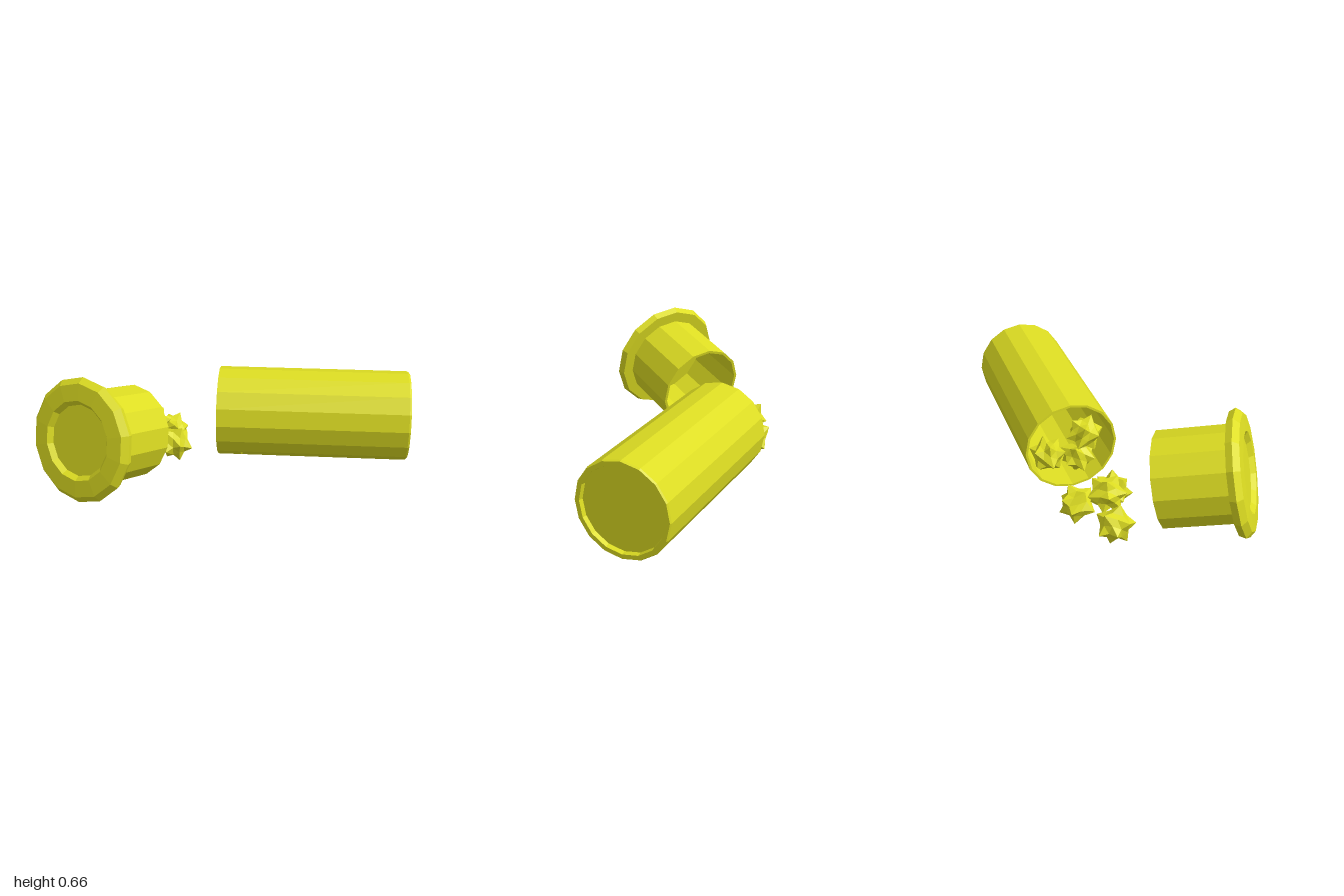
import * as THREE from 'three';

const material = new THREE.MeshStandardMaterial({ color: 0xdddd22, flatShading: true, side: THREE.DoubleSide });
const UP = new THREE.Vector3(0, 1, 0);

// Turned part whose local y axis points along the given direction.
function turned(name, profile, sides, position, axis) {
  const points = profile.map(([r, h]) => new THREE.Vector2(r, h));
  const mesh = new THREE.Mesh(new THREE.LatheGeometry(points, sides), material);
  mesh.name = name;
  mesh.position.set(...position);
  mesh.quaternion.setFromUnitVectors(UP, new THREE.Vector3(...axis).normalize());
  return mesh;
}

// Sugar candy: a ball with twelve blunt spikes, twisted around its axis.
function candyGeometry() {
  const geometry = new THREE.IcosahedronGeometry(1, 1);
  const corners = new THREE.IcosahedronGeometry(1, 0).attributes.position;
  const position = geometry.attributes.position;
  const v = new THREE.Vector3();
  const c = new THREE.Vector3();
  for (let i = 0; i < position.count; i++) {
    v.fromBufferAttribute(position, i).normalize();
    let nearest = 0;
    for (let j = 0; j < corners.count; j++) {
      nearest = Math.max(nearest, v.dot(c.fromBufferAttribute(corners, j)));
    }
    v.multiplyScalar(nearest > 0.99 ? 0.107 : 0.075);
    v.applyAxisAngle(UP, v.y * 6);
    position.setXYZ(i, v.x, v.y, v.z);
  }
  geometry.computeVertexNormals();
  return geometry;
}

export function createModel() {
  const group = new THREE.Group();

  // Container lying on its side, open towards -x, with a recessed base
  group.add(turned('containerTube', [
    [0, 1.0], [0.235, 1.0], [0.238, 0], [0.25, 0], [0.25, 1.05],
    [0.245, 1.06], [0.222, 1.06], [0.218, 1.035], [0, 1.035],
  ], 16, [-0.06, 0.255, -0.31], [1, 0, 0]));

  // Flanged lid, tipped back with its skirt opening downwards and away
  group.add(turned('lid', [
    [0, -0.035], [0.235, -0.035], [0.235, -0.425], [0.25, -0.425], [0.25, -0.05],
    [0.31, -0.05], [0.325, -0.015], [0.295, 0.015], [0.208, 0.02], [0.185, -0.005], [0, -0.005],
  ], 14, [-0.715, 0.345, 0.385], [-0.49, 0.21, 0.846]));

  // Candies spilled on the ground and left in the mouth of the tube
  const geometry = candyGeometry();
  const spots = [
    [-0.35, 0.1, -0.375], [-0.585, 0.1, -0.25], [-0.44, 0.19, -0.245], [-0.305, 0.105, -0.165],
    [0.06, 0.12, -0.24], [0.06, 0.25, -0.2], [0.1, 0.13, -0.4],
  ];
  spots.forEach((spot, i) => {
    const candy = new THREE.Mesh(geometry, material);
    candy.name = 'candy' + (i + 1);
    candy.position.set(...spot);
    candy.rotation.set(i * 1.3, i * 2.1, i * 0.7);
    group.add(candy);
  });

  return group;
}
